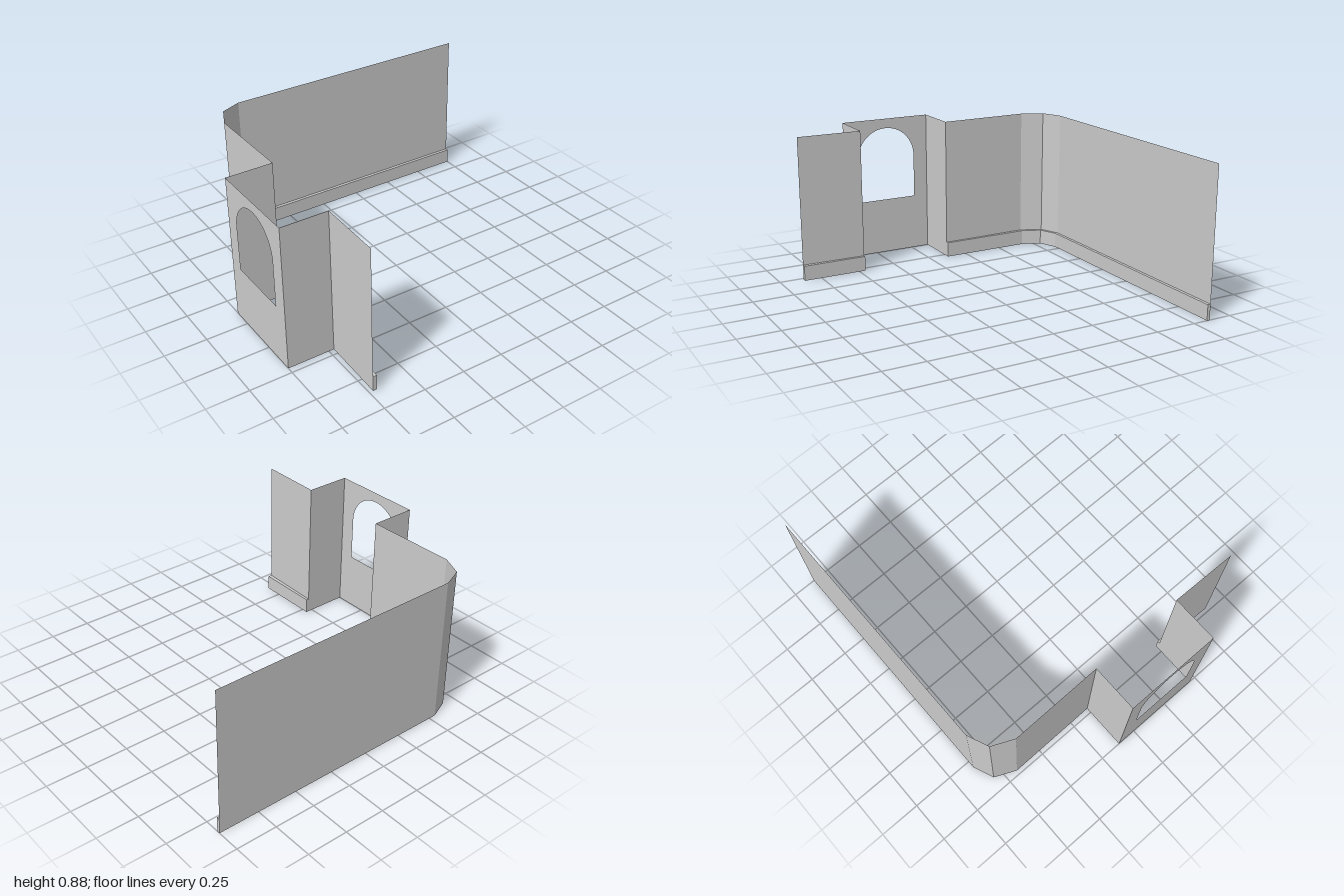
import * as THREE from 'three';

const H = 0.884, SKIRT = 0.093;
const material = new THREE.MeshStandardMaterial({ color: 0xcccccc, side: THREE.DoubleSide, flatShading: true });

// Plan outlines as [x, z]: wall line, and the skirting face standing in front of it
const frontWall = [[-0.727, 0.858], [-0.719, 0.46]];
const frontSkirt = [[-0.703, 0.858], [-0.703, 0.46]];
const mainWall = [[-0.719, -0.118], [-0.725, -0.677], [-0.667, -0.806], [-0.543, -0.858], [1, -0.858]];
const mainSkirt = [[-0.703, -0.118], [-0.703, -0.677], [-0.655, -0.792], [-0.543, -0.839], [1, -0.839]];

const atHeight = (path, y) => path.map(([x, z]) => [x, y, z]);

// Flat-shaded surface between neighbouring rows of points
function surface(name, rows) {
  const p = [];
  for (let r = 0; r < rows.length - 1; r++) {
    const lo = rows[r], hi = rows[r + 1];
    for (let i = 0; i < lo.length - 1; i++) {
      p.push(...lo[i], ...lo[i + 1], ...hi[i + 1], ...lo[i], ...hi[i + 1], ...hi[i]);
    }
  }
  const g = new THREE.BufferGeometry();
  g.setAttribute('position', new THREE.Float32BufferAttribute(p, 3));
  g.computeVertexNormals();
  const mesh = new THREE.Mesh(g, material);
  mesh.name = name;
  return mesh;
}

const wall = (name, path) => surface(name, [atHeight(path, H), atHeight(path, 0)]);

// Skirting board: underside, face and top ledge, closed at both ends
function skirting(name, back, face) {
  const group = new THREE.Group();
  group.name = name;
  group.add(surface('board', [atHeight(face, SKIRT), atHeight(face, 0), atHeight(back, 0)]));
  group.add(surface('ledge', [atHeight(back, SKIRT), atHeight(face, SKIRT)]));
  for (const i of [0, back.length - 1]) {
    const edge = i ? [face[i], back[i]] : [back[i], face[i]];
    group.add(wall('end', edge));
    group.children.at(-1).scale.y = SKIRT / H;
  }
  return group;
}

// Back panel of the alcove with an arched window opening
function windowPanel() {
  const z0 = -0.118, z1 = 0.46, mid = 0.17, r = 0.195, sill = 0.353, spring = 0.628;
  const shape = new THREE.Shape();
  shape.moveTo(-z1, 0).lineTo(-z0, 0).lineTo(-z0, H).lineTo(-z1, H).closePath();
  const arch = new THREE.Path();
  arch.moveTo(-mid - r, sill).lineTo(-mid + r, sill).lineTo(-mid + r, spring);
  arch.absarc(-mid, spring, r, 0, Math.PI, false).closePath();
  shape.holes.push(arch);
  const mesh = new THREE.Mesh(new THREE.ShapeGeometry(shape, 16), material);
  mesh.name = 'windowPanel';
  mesh.rotation.y = Math.PI / 2;
  mesh.position.x = -1;
  return mesh;
}

export function createModel() {
  const model = new THREE.Group();
  model.name = 'roomWalls';
  model.add(
    wall('frontWall', frontWall),
    wall('mainWall', mainWall),
    skirting('frontSkirting', frontWall, frontSkirt),
    skirting('mainSkirting', mainWall, mainSkirt),
    // Alcove
    windowPanel(),
    wall('alcoveFrontSide', [[-0.719, 0.46], [-1, 0.46]]),
    wall('alcoveBackSide', [[-1, -0.118], [-0.719, -0.118]]),
  );
  return model;
}
